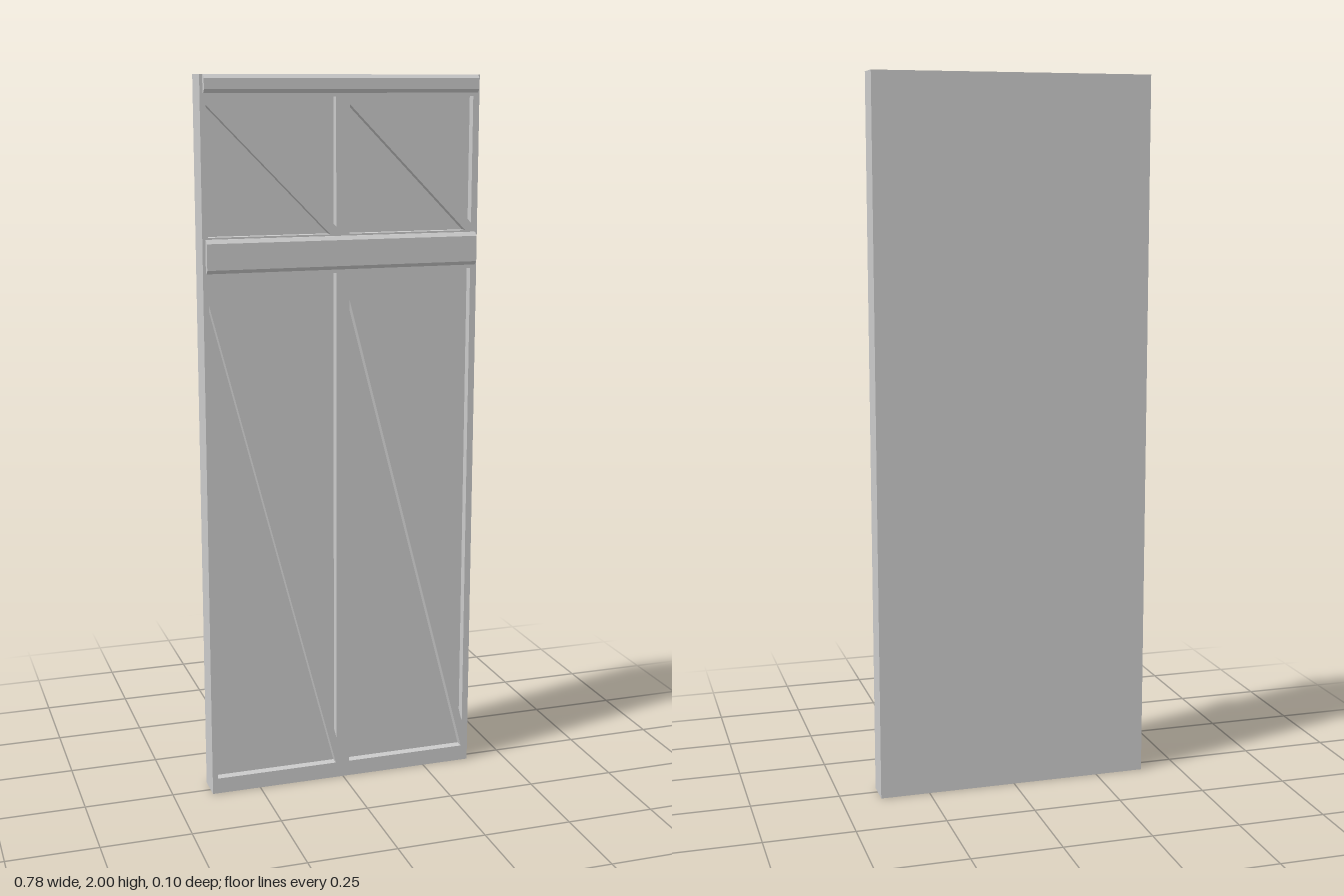
import * as THREE from 'three';

const material = new THREE.MeshStandardMaterial({ color: 0xcccccc, flatShading: true });
const HALF = 0.39, BACK = -0.05, FACE = 0.03, RECESS = 0.025;

function addMesh(group, name, geometry) {
  const mesh = new THREE.Mesh(geometry, material);
  mesh.name = name;
  group.add(mesh);
  return mesh;
}

function trace(points, Type) {
  return new Type(points.map(([x, y]) => new THREE.Vector2(x, y)));
}

// Horizontal rail with chamfered front edges, extruded along x
function railGeometry(bottom, top) {
  const profile = trace([
    [FACE - 0.005, bottom], [0.038, bottom], [0.047, bottom + 0.01],
    [0.047, top - 0.01], [0.038, top], [FACE - 0.005, top],
  ], THREE.Shape);
  const geometry = new THREE.ExtrudeGeometry(profile, { depth: 0.764, bevelEnabled: false });
  // Shape (x, y) is (z, y) of the model
  geometry.rotateY(-Math.PI / 2);
  geometry.scale(1, 1, 1);
  geometry.translate(0.382, 0, 0);
  return geometry;
}

export function createModel() {
  const wall = new THREE.Group();
  wall.name = 'timberWallPanel';

  // Solid infill behind the timber frame
  const depth = FACE - RECESS - BACK;
  const infill = addMesh(wall, 'infill', new THREE.BoxGeometry(2 * HALF, 2, depth));
  infill.position.set(0, 1, BACK + depth / 2);

  // Timber frame: one plate with a pair of triangular openings per bay
  const frame = trace([[-HALF, 0], [HALF, 0], [HALF, 2], [-HALF, 2]], THREE.Shape);
  const bays = [
    { y0: 0.045, y1: 1.475, gapX: 0.008, gapTop: 0.075, gapBottom: 0.077, gapFoot: 0.002 },
    { y0: 1.58, y1: 1.943, gapX: 0.017, gapTop: 0.02, gapBottom: 0.02, gapFoot: 0.017 },
  ];
  for (const [x0, x1] of [[-0.375, -0.02], [0.018, 0.372]]) {
    for (const b of bays) {
      frame.holes.push(
        trace([[x0, b.y0], [x0, b.y1 - b.gapTop], [x1 - b.gapFoot, b.y0]], THREE.Path),
        trace([[x0 + b.gapX, b.y1], [x1, b.y1], [x1, b.y0 + b.gapBottom]], THREE.Path),
      );
    }
  }
  const frameMesh = addMesh(wall, 'timberFrame',
    new THREE.ExtrudeGeometry(frame, { depth: RECESS, bevelEnabled: false }));
  frameMesh.position.z = FACE - RECESS;

  // Projecting rails
  addMesh(wall, 'middleRail', railGeometry(1.485, 1.575));
  addMesh(wall, 'topRail', railGeometry(1.952, 2));

  return wall;
}
